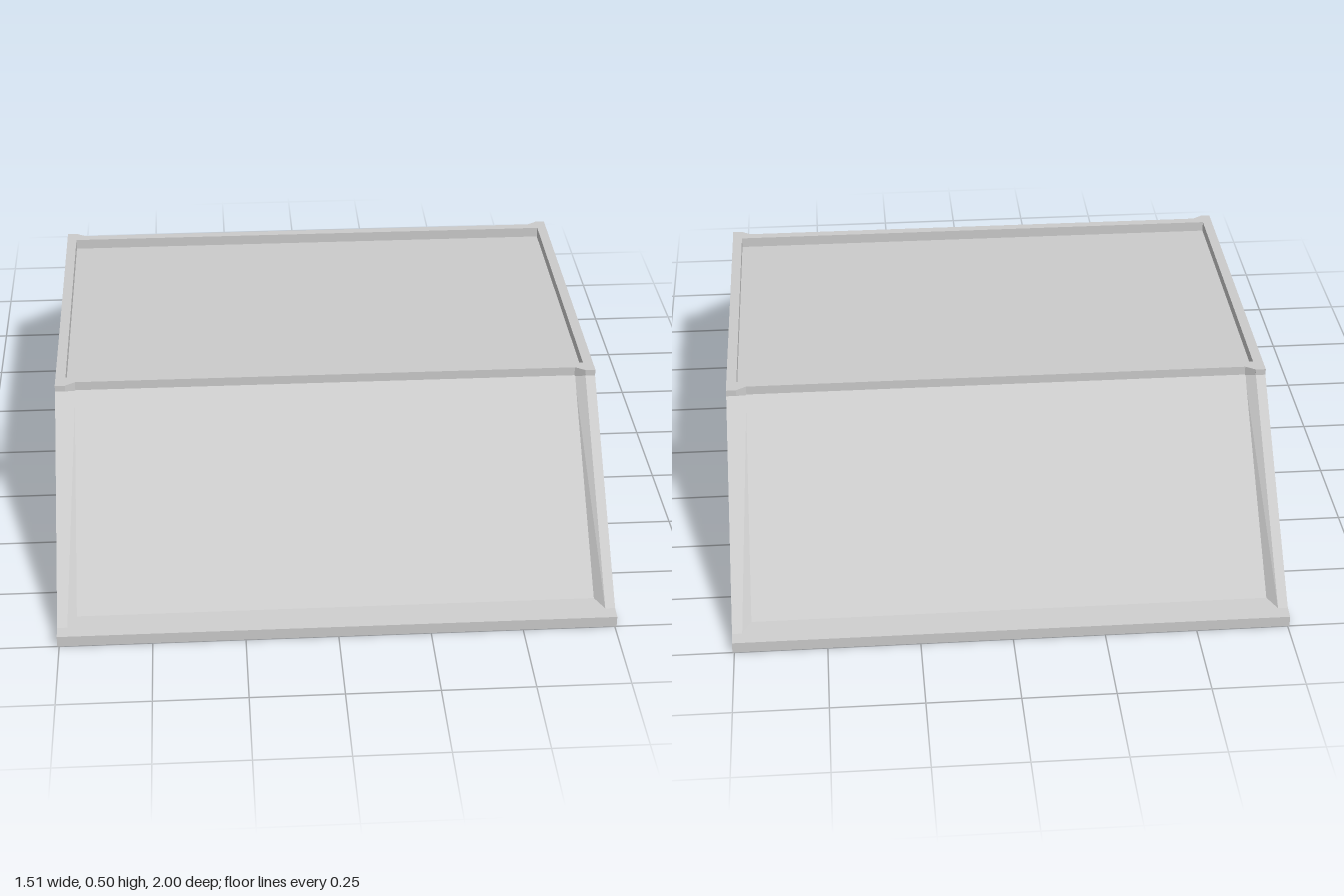
import * as THREE from 'three';
import { ConvexGeometry } from 'three/addons/geometries/ConvexGeometry.js';

const material = new THREE.MeshStandardMaterial({ color: 0xcccccc });

// Faceted solid around a few corner points, optionally mirrored in x and z
function solid(name, points, sx = 1, sz = 1) {
  const corners = points.map(([x, y, z]) => new THREE.Vector3(x * sx, y, z * sz));
  const mesh = new THREE.Mesh(new ConvexGeometry(corners), material);
  mesh.name = name;
  return mesh;
}

// Bar or sheet running across the width, from a [z, y] section
function across(name, halfWidth, section, sz) {
  const points = [-halfWidth, halfWidth].flatMap((x) => section.map(([z, y]) => [x, y, z]));
  return solid(name, points, 1, sz);
}

function box(name, w, h, d, x, y, z) {
  const mesh = new THREE.Mesh(new THREE.BoxGeometry(w, h, d), material);
  mesh.name = name;
  mesh.position.set(x, y, z);
  return mesh;
}

export function createModel() {
  const model = new THREE.Group();
  model.name = 'foldedCanopy';

  // Flat top, sunk between its rails
  model.add(box('topPanel', 1.46, 0.009, 0.9, 0, 0.4705, 0));
  for (const sx of [1, -1]) {
    model.add(box('topSideRail', 0.028, 0.045, 0.96, sx * 0.741, 0.4825, 0));
  }

  for (const sz of [1, -1]) {
    const wing = new THREE.Group();
    wing.name = sz > 0 ? 'frontWing' : 'backWing';

    // Raised bar along the fold
    wing.add(across('ridgeBar', 0.73, [[0.435, 0.46], [0.435, 0.505], [0.462, 0.505], [0.462, 0.46]], sz));

    // Thin sloping sheet
    wing.add(across('slopePanel', 0.72, [[0.455, 0.486], [0.455, 0.479], [0.925, 0.032], [0.925, 0.039]], sz));

    // Lip along the lower edge
    wing.add(across('bottomLip', 0.755, [[0.922, 0.041], [0.97, 0.031], [1, 0.031], [1, 0], [0.96, 0], [0.922, 0.036]], sz));

    for (const sx of [1, -1]) {
      // Sloping edge rail with a bevelled inner side
      wing.add(solid('slopeRail', [
        [0.755, 0.487, 0.48], [0.728, 0.487, 0.48], [0.755, 0.462, 0.478], [0.7, 0.479, 0.46],
        [0.755, 0.031, 0.97], [0.728, 0.031, 0.97], [0.755, 0, 0.962], [0.7, 0.037, 0.922],
      ], sx, sz));

      // Chamfered corner where the rails meet the ridge
      wing.add(solid('ridgeCorner', [0.46, 0.505].flatMap((y) => [
        [0.755, y, 0.44], [0.755, y, 0.48], [0.728, y, 0.48], [0.7, y, 0.462], [0.7, y, 0.44],
      ]), sx, sz));
    }
    model.add(wing);
  }
  return model;
}
